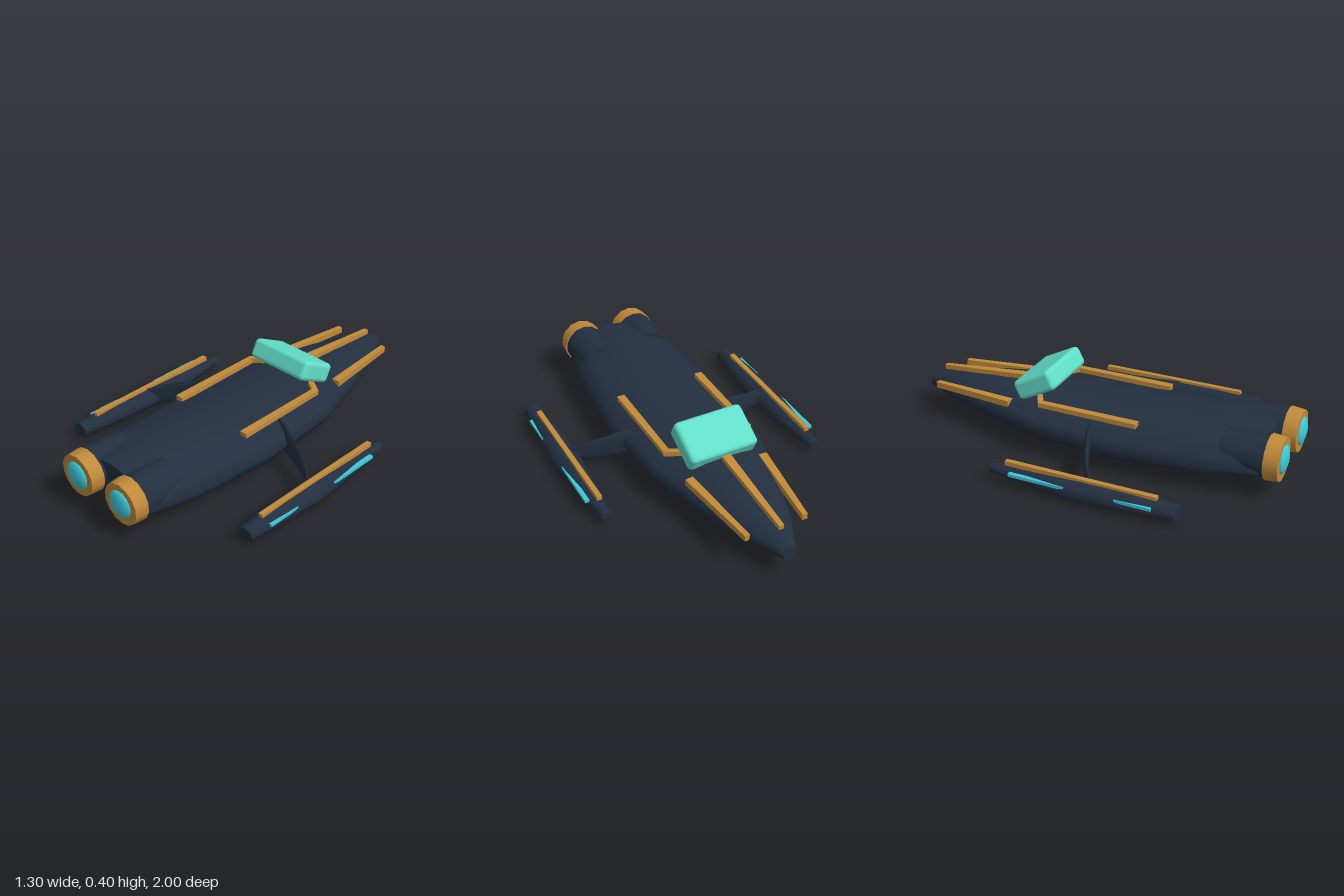
import * as THREE from 'three';
import { RoundedBoxGeometry } from 'three/addons/geometries/RoundedBoxGeometry.js';

// Smooth loft along z. Sections: [x, z, halfWidth, yBottom, yMid, yTop]
function loft(sections, sides) {
  const pos = [], idx = [];
  const ring = ([x, z, w, lo, mid, hi]) => {
    const start = pos.length / 3;
    for (let i = 0; i < sides; i++) {
      const a = (i / sides) * Math.PI * 2, s = Math.sin(a);
      pos.push(x + w * Math.cos(a), mid + s * (s > 0 ? hi - mid : mid - lo), z);
    }
    return start;
  };
  const rings = sections.map(ring);
  for (let k = 0; k < rings.length - 1; k++) {
    for (let i = 0; i < sides; i++) {
      const j = (i + 1) % sides, a = rings[k], b = rings[k + 1];
      idx.push(a + i, a + j, b + j, a + i, b + j, b + i);
    }
  }
  // End caps have their own vertices so the rims stay sharp
  const first = ring(sections[0]), last = ring(sections[sections.length - 1]);
  for (let i = 1; i < sides - 1; i++) {
    idx.push(first, first + i + 1, first + i, last, last + i, last + i + 1);
  }
  const g = new THREE.BufferGeometry();
  g.setAttribute('position', new THREE.Float32BufferAttribute(pos, 3));
  g.setIndex(idx);
  g.computeVertexNormals();
  return g;
}

export function createModel() {
  const model = new THREE.Group();
  model.name = 'spacecraft';
  const mat = (name, color) => {
    const m = new THREE.MeshStandardMaterial({ color });
    m.name = name;
    return m;
  };
  const navy = mat('navy hull', 0x232f40);
  const gold = mat('gold trim', 0xc08a3a);
  const teal = mat('teal canopy', 0x62dfca);
  const cyan = mat('cyan glow', 0x3cc8d8);

  const add = (name, geometry, material, x = 0, y = 0, z = 0) => {
    const mesh = new THREE.Mesh(geometry, material);
    mesh.name = name;
    mesh.position.set(x, y, z);
    model.add(mesh);
    return mesh;
  };

  // Square bar between two points, tapering from width w0 to w1
  const bar = (name, from, to, w0, w1, h) => {
    const a = new THREE.Vector3(...from), b = new THREE.Vector3(...to);
    const len = a.distanceTo(b);
    const g = new THREE.BoxGeometry(1, h, len);
    const p = g.attributes.position;
    for (let i = 0; i < p.count; i++) p.setX(i, p.getX(i) * (p.getZ(i) < 0 ? w0 : w1));
    g.computeVertexNormals();
    const m = add(name, g, gold);
    m.position.copy(a).lerp(b, 0.5);
    m.lookAt(b);
    return m;
  };

  // Main hull, nose at -z
  add('hull', loft([
    [0, -1.0, 0.035, 0.1, 0.14, 0.18],
    [0, -0.8, 0.13, 0.065, 0.14, 0.222],
    [0, -0.63, 0.19, 0.04, 0.14, 0.245],
    [0, -0.25, 0.305, 0.015, 0.14, 0.262],
    [0, 0.2, 0.33, 0.004, 0.14, 0.265],
    [0, 0.63, 0.3, 0.035, 0.145, 0.3],
    [0, 0.89, 0.245, 0.07, 0.15, 0.285],
  ], 16), navy);

  // Tilted canopy block
  const canopy = add('canopy', new RoundedBoxGeometry(0.36, 0.105, 0.225, 2, 0.024), teal, 0, 0.312, -0.303);
  canopy.rotation.x = -0.48;

  // Spine rail on the nose
  bar('spineRail', [0, 0.272, -0.42], [0, 0.228, -0.92], 0.045, 0.025, 0.025);

  for (const s of [1, -1]) {
    const side = s > 0 ? 'left' : 'right';

    // Nose rails and bent deck rails
    bar(side + 'NoseRail', [s * 0.2, 0.207, -0.425], [s * 0.15, 0.197, -0.88], 0.042, 0.026, 0.032);
    bar(side + 'DeckRail', [s * 0.222, 0.248, 0.275], [s * 0.222, 0.25, -0.24], 0.04, 0.032, 0.025);
    bar(side + 'DeckRailBend', [s * 0.234, 0.25, -0.232], [s * 0.16, 0.258, -0.275], 0.028, 0.028, 0.025);

    // Engine: housing, rim and glowing dome
    const housing = new THREE.CylinderGeometry(0.106, 0.098, 0.22, 14).rotateX(Math.PI / 2);
    add(side + 'EngineHousing', housing, navy, s * 0.15, 0.194, 0.8);
    const rim = new THREE.CylinderGeometry(0.106, 0.112, 0.07, 14).rotateX(Math.PI / 2);
    add(side + 'EngineRim', rim, gold, s * 0.15, 0.194, 0.942);
    add(side + 'EngineDome', new THREE.SphereGeometry(0.072, 12, 8).scale(1, 1, 0.36), cyan, s * 0.15, 0.196, 0.974);

    // Outrigger pod
    add(side + 'Pod', loft([
      [0, -0.32, 0.026, 0.042, 0.062, 0.085],
      [0, -0.1, 0.05, 0.02, 0.058, 0.1],
      [0, 0.16, 0.071, 0.004, 0.056, 0.11],
      [0, 0.4, 0.06, 0.012, 0.058, 0.11],
      [0, 0.63, 0.043, 0.025, 0.062, 0.1],
    ], 10), navy, s * 0.58);
    add(side + 'PodRail', new THREE.BoxGeometry(0.026, 0.022, 0.77), gold, s * 0.578, 0.109, 0.145);
    add(side + 'PodFrontLight', new THREE.BoxGeometry(0.022, 0.015, 0.29), cyan, s * 0.626, 0.078, -0.055);
    add(side + 'PodRearLight', new THREE.BoxGeometry(0.02, 0.015, 0.18), cyan, s * 0.626, 0.078, 0.43);

    // Swept blade strut, lofted outward from the hull
    const strut = loft([
      [-s * 0.035, 0.22, 0.014, 0.065, 0.15, 0.24],
      [-s * 0.06, 0.31, 0.014, 0.07, 0.145, 0.22],
      [-s * 0.1, 0.42, 0.013, 0.055, 0.115, 0.178],
      [-s * 0.15, 0.51, 0.013, 0.04, 0.09, 0.142],
      [-s * 0.2, 0.58, 0.012, 0.035, 0.07, 0.108],
    ], 10);
    add(side + 'Strut', strut, navy).rotation.y = s * Math.PI / 2;
  }
  return model;
}
